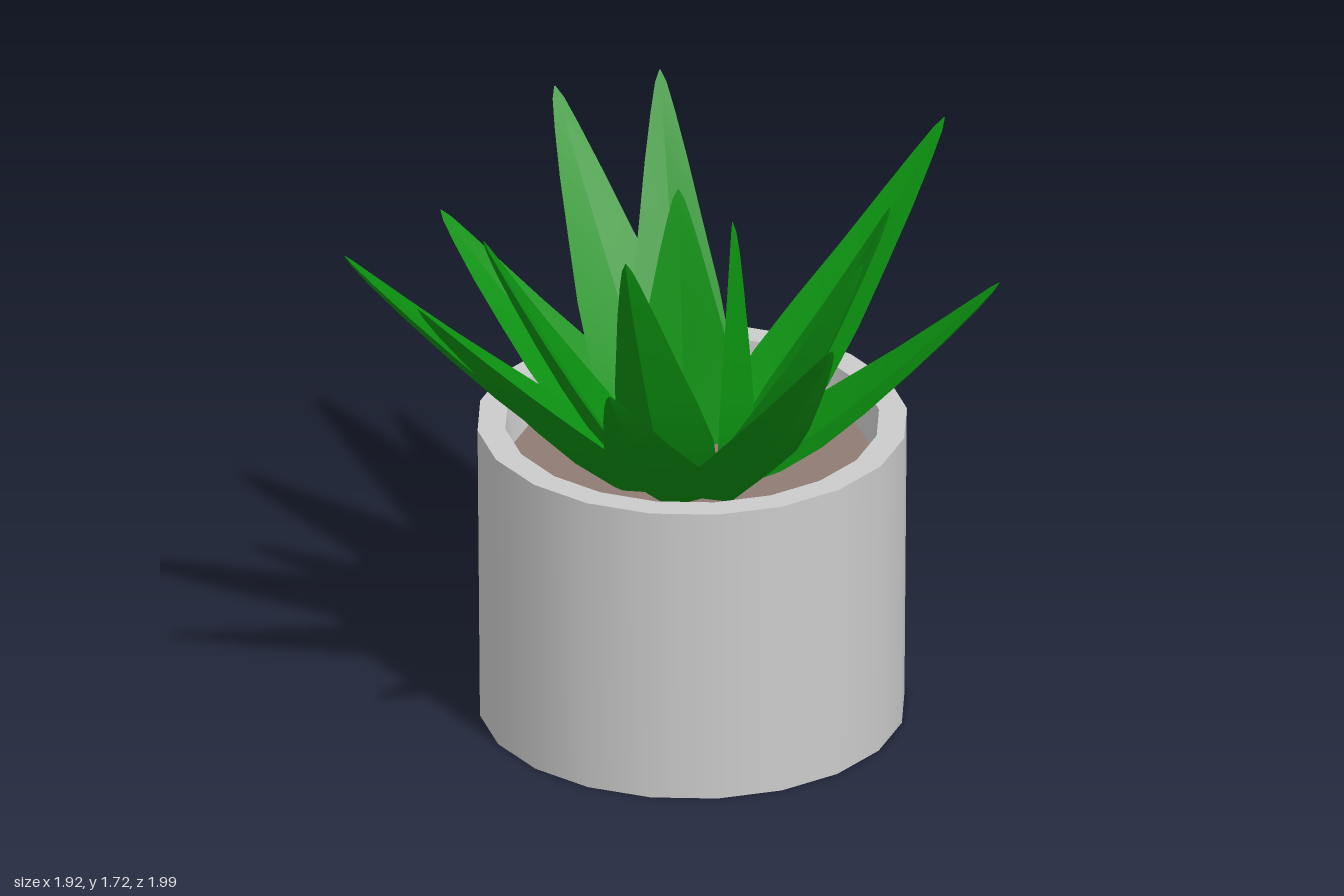
import * as THREE from 'three';
import { mergeGeometries } from 'three/addons/utils/BufferGeometryUtils.js';

const CX = 0.06, CZ = -0.035, SOIL_Y = 0.8, SIDES = 20;

// Half-width and thickness along the leaf: [t, half width, keel depth, channel depth]
const PROFILE = [
  [0, 0.10, 0.05, 0.030], [0.12, 0.145, 0.065, 0.030], [0.28, 0.158, 0.07, 0.025],
  [0.45, 0.135, 0.06, 0.018], [0.62, 0.10, 0.046, 0.010], [0.78, 0.067, 0.032, 0.004],
  [0.9, 0.038, 0.02, 0], [0.97, 0.018, 0.01, 0], [1, 0.002, 0.001, 0],
];

// Tapered leaf with a keel below and a shallow channel above, creased along its edges
function leafGeometry(tip, width, rootRadius, fold) {
  const centre = new THREE.Vector3(CX, SOIL_Y - 0.02, 0);
  const out = new THREE.Vector3(tip.x - CX, 0, tip.z).normalize();
  const root = centre.clone().addScaledVector(out, rootRadius);
  const middle = root.clone().lerp(tip, 0.5);
  middle.y -= 0.06;
  const curve = new THREE.QuadraticBezierCurve3(root, middle, tip);
  const side = new THREE.Vector3(0, 1, 0).cross(out);

  const rings = PROFILE.map(([t, w, keel, channel]) => {
    const p = curve.getPoint(t);
    const normal = curve.getTangent(t).cross(side);
    const at = (s, n) => p.clone().addScaledVector(side, s * width).addScaledVector(normal, n);
    return [at(w, 0), at(0, -channel * fold), at(-w, 0), at(0, -keel * Math.max(1, fold * 0.8))];
  });

  const strips = [];
  for (let a = 0; a < 4; a++) {
    const b = (a + 1) % 4, index = [];
    const points = rings.flatMap(r => [r[a], r[b]]);
    for (let i = 0; i < rings.length - 1; i++) {
      const k = i * 2;
      index.push(k, k + 1, k + 2, k + 1, k + 3, k + 2);
    }
    const strip = new THREE.BufferGeometry().setFromPoints(points);
    strip.setIndex(index);
    strip.computeVertexNormals();
    strips.push(strip);
  }
  return mergeGeometries(strips);
}

export function createModel() {
  const model = new THREE.Group();
  model.name = 'pottedSucculent';
  const potMaterial = new THREE.MeshStandardMaterial({ color: 0xcccccc });
  const soilMaterial = new THREE.MeshStandardMaterial({ color: 0x8f7c74 });
  const leafMaterial = new THREE.MeshStandardMaterial({ color: 0x0b8f10, side: THREE.DoubleSide });

  // Pot: base, outer wall, rim and inner wall, sharp where they meet
  const corners = [[0, 0], [0.625, 0], [0.632, 0.93], [0.55, 0.93], [0.53, SOIL_Y - 0.02]]
    .map(c => new THREE.Vector2(...c));
  const walls = corners.slice(1).map((c, i) => new THREE.LatheGeometry([corners[i], c], SIDES));
  const pot = new THREE.Mesh(mergeGeometries(walls), potMaterial);
  pot.name = 'pot';
  pot.position.set(CX, 0, CZ);
  model.add(pot);

  // Soil
  const soil = new THREE.Mesh(new THREE.CircleGeometry(0.54, SIDES).rotateX(-Math.PI / 2), soilMaterial);
  soil.name = 'soil';
  soil.position.set(CX, SOIL_Y, CZ);
  model.add(soil);

  // Leaves by tip position, then width scale, root radius and channel fold
  const outer = [
    [-0.23, 1.56, -1.0], [-0.6, 1.32, -0.71], [-0.96, 1.51, -0.06], [-0.82, 1.64, 0.57],
    [-0.3, 1.51, 0.95], [0.35, 1.64, 0.99], [0.96, 1.34, 0], [0.87, 1.59, -0.6],
  ];
  const inner = [
    [0.05, 1.72, -0.75], [0.5, 1.67, 0.49], [-0.2, 1.72, 0.51],
    [-0.55, 1.53, -0.07], [0.64, 1.6, -0.01], [0.05, 1.55, -0.3],
  ];
  const leaves = new THREE.Group();
  leaves.name = 'leaves';
  const addLeaf = (name, tip, width, radius, fold) => {
    const leaf = new THREE.Mesh(
      leafGeometry(new THREE.Vector3(...tip), width, radius, fold), leafMaterial);
    leaf.name = name;
    leaves.add(leaf);
  };
  outer.forEach((tip, i) => addLeaf(`outerLeaf${i + 1}`, tip, 1, 0.15, 1));
  inner.forEach((tip, i) => addLeaf(`innerLeaf${i + 1}`, tip, 0.95, 0.11, 1.3));
  addLeaf('centreLeaf', [0.17, 1.6, 0.03], 0.6, 0.08, 1.6);
  model.add(leaves);

  return model;
}
